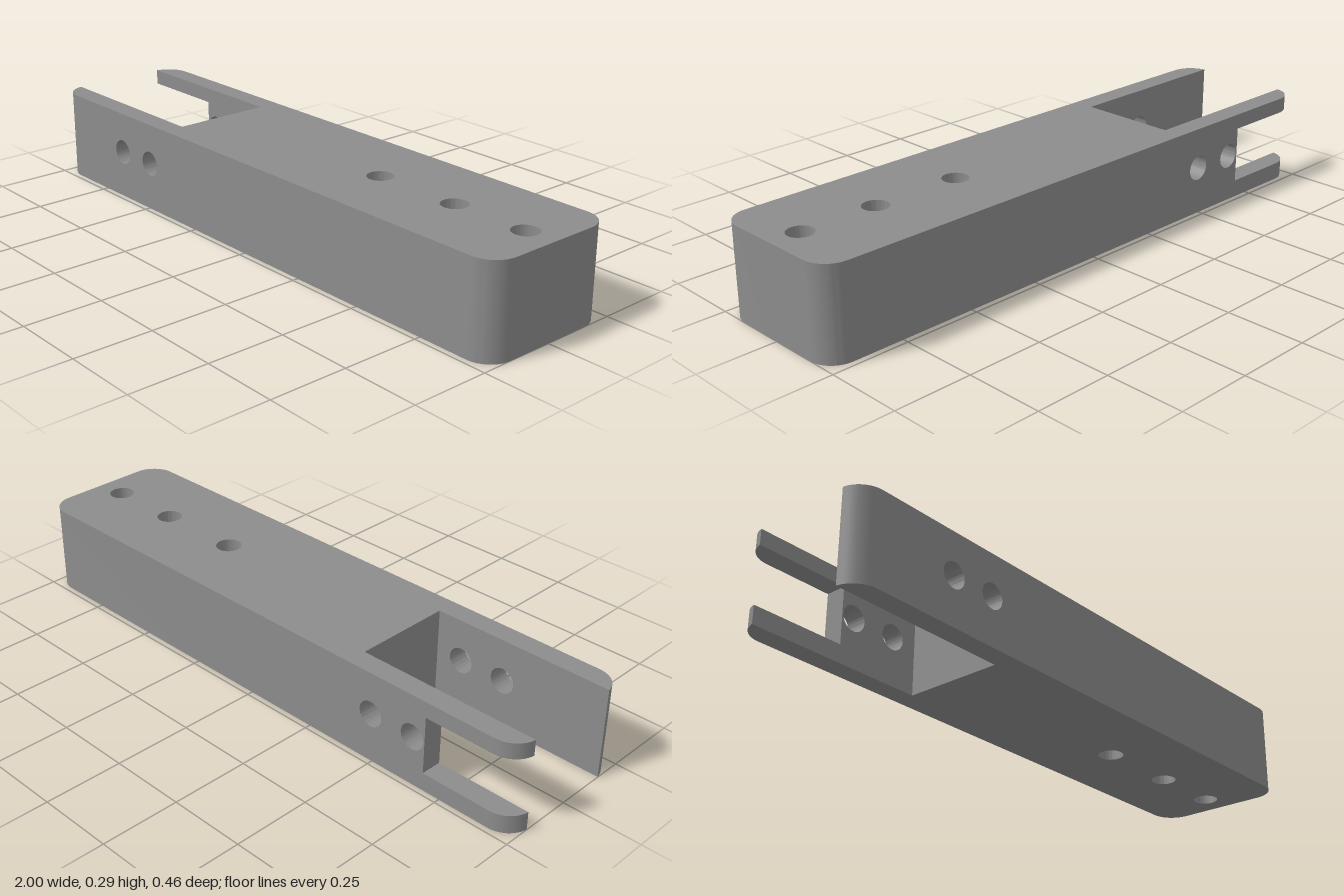
import * as THREE from 'three';
import { toCreasedNormals } from 'three/addons/utils/BufferGeometryUtils.js';

const H = 0.293;          // height
const D = 0.232;          // half depth
const R = 0.08;           // corner radius
const SLOT = 0.163;       // half width of the slot
const SLOT_END = -0.4;    // where the slot meets the solid bar
const CAP = -1 + R;       // where the rounded wall ends begin
const HOLE = 0.041;       // radius of every hole
const NOTCH = { x: -0.69, y0: 0.058, y1: 0.243 };

// Points along a rounded corner
function arc(cx, cy, from, to, n = 12) {
  return Array.from({ length: n + 1 }, (_, i) => {
    const a = from + (to - from) * i / n;
    return new THREE.Vector2(cx + R * Math.cos(a), cy + R * Math.sin(a));
  });
}

function shapeOf(points, holes = []) {
  const shape = new THREE.Shape(points.map(p => (Array.isArray(p) ? new THREE.Vector2(...p) : p)));
  for (const [x, y] of holes) {
    shape.holes.push(new THREE.Path().absarc(x, y, HOLE, 0, Math.PI * 2, true));
  }
  return shape;
}

const extrude = (shape, depth) =>
  new THREE.ExtrudeGeometry(shape, { depth, bevelEnabled: false, curveSegments: 32 });

export function createModel() {
  const group = new THREE.Group();
  const metal = new THREE.MeshStandardMaterial({ color: 0x8c8c8c });
  metal.name = 'grey metal';

  const add = (name, geometry) => {
    const mesh = new THREE.Mesh(toCreasedNormals(geometry, Math.PI / 6), metal);
    mesh.name = name;
    group.add(mesh);
  };
  // Plan shape raised from y0 to y1
  const addPlan = (name, shape, y0, y1) =>
    add(name, extrude(shape, y1 - y0).rotateX(-Math.PI / 2).translate(0, y0, 0));

  // Solid bar with rounded end and three vertical holes
  addPlan('bar', shapeOf([
    [SLOT_END, -D],
    ...arc(1 - R, -D + R, -Math.PI / 2, 0),
    ...arc(1 - R, D - R, 0, Math.PI / 2),
    [SLOT_END, D],
  ], [[0.35, 0], [0.645, 0], [0.9, 0]]), 0, H);

  // Side walls of the slot, each with two cross holes
  const crossHoles = [[-0.645, 0.158], [-0.49, 0.158]];
  const frontWall = [[CAP, 0], [SLOT_END, 0], [SLOT_END, H], [CAP, H]];
  const backWall = [
    ...frontWall,
    [CAP, NOTCH.y1], [NOTCH.x, NOTCH.y1], [NOTCH.x, NOTCH.y0], [CAP, NOTCH.y0],
  ];
  add('frontWall', extrude(shapeOf(frontWall, crossHoles), D - SLOT).translate(0, 0, SLOT));
  add('backWall', extrude(shapeOf(backWall, crossHoles), D - SLOT).translate(0, 0, -D));

  // Rounded wall ends; the back one is split into two prongs by the notch
  const start = Math.PI - Math.asin((SLOT - D + R) / R);
  const endShape = side => shapeOf([
    [CAP, side * SLOT],
    ...arc(CAP, D - R, start, Math.PI / 2).map(p => [p.x, side * p.y]),
  ]);
  addPlan('frontWallEnd', endShape(-1), 0, H);
  addPlan('lowerProngEnd', endShape(1), 0, NOTCH.y0);
  addPlan('upperProngEnd', endShape(1), NOTCH.y1, H);

  return group;
}
